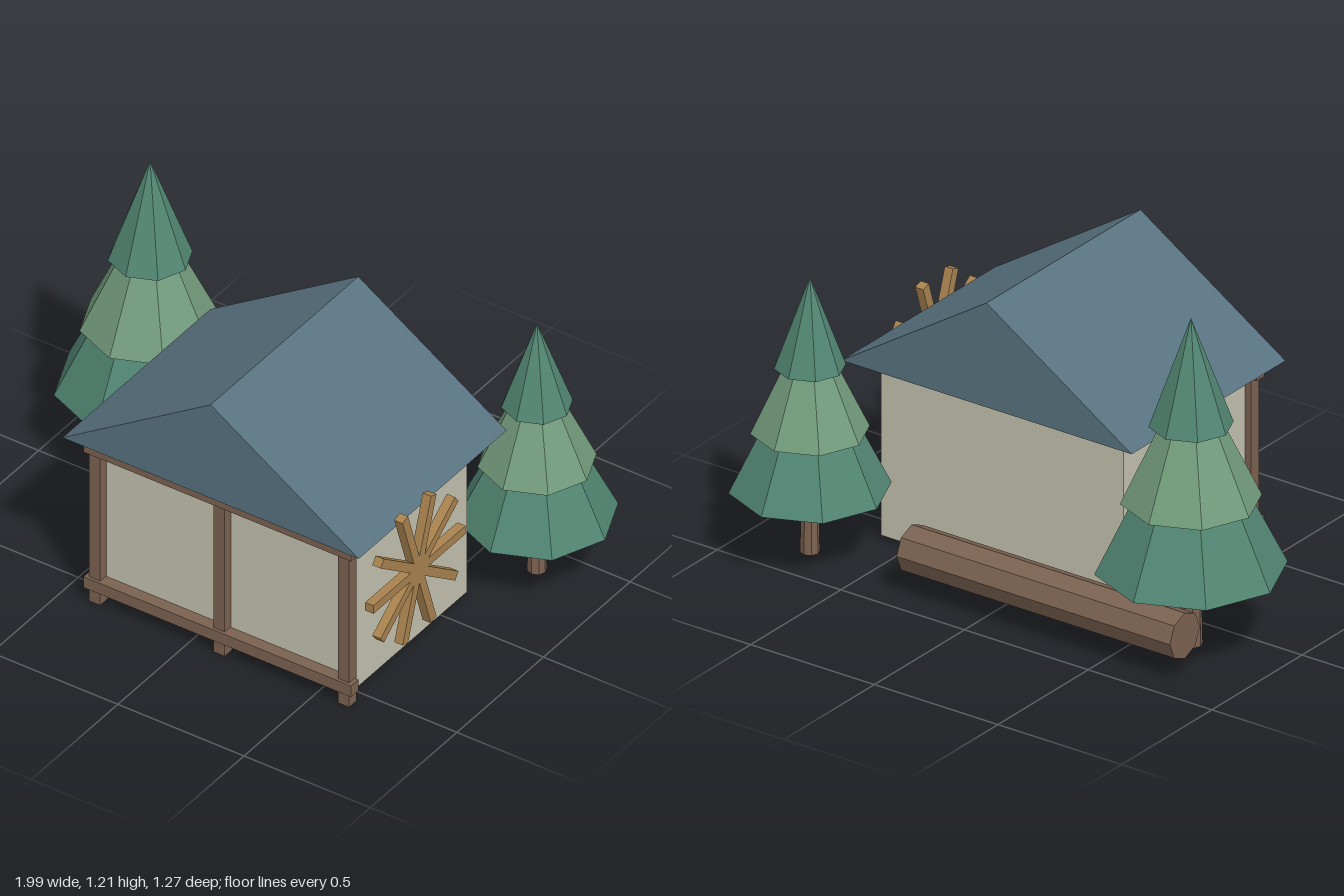
import * as THREE from 'three';

const mat = (color) => new THREE.MeshStandardMaterial({ color, flatShading: true });
const wood = mat(0x7b6251), plaster = mat(0xc3c1ae), slate = mat(0x587280);
const darkGreen = mat(0x528673), lightGreen = mat(0x739c7c), oak = mat(0xa9834f);

function add(parent, name, geometry, material, x = 0, y = 0, z = 0) {
  const mesh = new THREE.Mesh(geometry, material);
  mesh.name = name;
  mesh.position.set(x, y, z);
  parent.add(mesh);
  return mesh;
}

function group(parent, name, x = 0, y = 0, z = 0) {
  const g = new THREE.Group();
  g.name = name;
  g.position.set(x, y, z);
  parent.add(g);
  return g;
}

// Eight-sided conifer of unit height: trunk and three overlapping cones
function addTree(parent, name, x, z, scale) {
  const tree = group(parent, name, x, 0.02, z);
  tree.scale.setScalar(scale);
  add(tree, 'trunk', new THREE.CylinderGeometry(0.027, 0.033, 0.3, 8), wood, 0, 0.15, 0);
  const tiers = [
    [0.232, 0.27, 0.55, darkGreen],
    [0.443, 0.198, 0.42, lightGreen],
    [0.674, 0.119, 0.326, darkGreen],
  ];
  tiers.forEach(([base, radius, height, material], i) => {
    add(tree, `foliageTier${i + 1}`, new THREE.ConeGeometry(radius, height, 8), material, 0, base + height / 2, 0);
  });
}

export function createModel() {
  const model = new THREE.Group();
  model.name = 'cabin';

  // House body and timber front
  const house = group(model, 'house', 0.117, 0, 0);
  add(house, 'walls', new THREE.BoxGeometry(0.98, 0.645, 0.68), plaster, 0, 0.3425, 0.21);
  for (const x of [-0.493, 0, 0.493]) {
    add(house, 'frontPost', new THREE.BoxGeometry(0.044, 0.664, 0.044), wood, x, 0.332, 0.564);
  }
  for (const y of [0.077, 0.628]) {
    add(house, 'frontRail', new THREE.BoxGeometry(1.06, 0.044, 0.044), wood, 0, y, 0.575);
  }

  // Gable roof as a solid prism
  const gable = new THREE.Shape([
    new THREE.Vector2(-0.587, 0),
    new THREE.Vector2(0.587, 0),
    new THREE.Vector2(0, 0.38),
  ]);
  const roof = new THREE.ExtrudeGeometry(gable, { depth: 0.853, bevelEnabled: false });
  add(house, 'roof', roof, slate, 0, 0.664, -0.218);

  // Water wheel: five crossing bars make ten spokes
  const wheel = group(model, 'waterWheel', 0.741, 0.475, 0.362);
  for (let i = 0; i < 5; i++) {
    const bar = add(wheel, 'spokeBar', new THREE.BoxGeometry(0.033, 0.033, 0.532), oak);
    bar.rotation.x = (i * Math.PI) / 5;
  }

  // Fallen log behind the house
  const log = add(model, 'log', new THREE.CylinderGeometry(0.083, 0.083, 1.105, 8), wood, -0.237, 0.153, -0.361);
  log.rotation.z = Math.PI / 2;

  addTree(model, 'tallTree', -0.68, -0.177, 1.185);
  addTree(model, 'smallTree', 0.725, -0.363, 1);
  return model;
}
